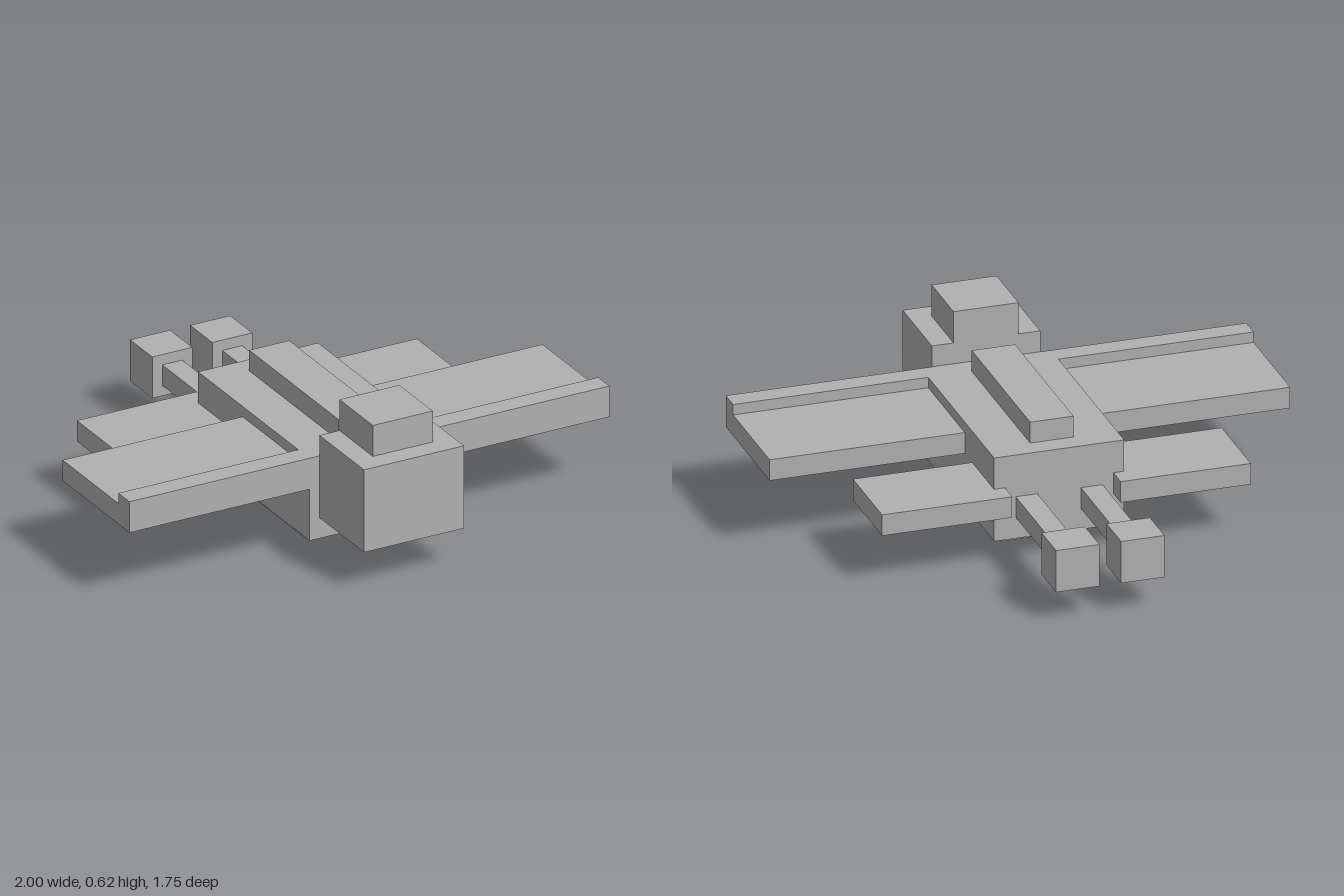
import * as THREE from 'three';

const U = 1 / 24; // one block unit

export function createModel() {
  const model = new THREE.Group();
  model.name = 'blockInsect';
  const grey = new THREE.MeshStandardMaterial({ color: 0xb0b0b0 });
  grey.name = 'plainGrey';

  // Box from its lower and upper corners, in block units
  function box(name, [x0, y0, z0], [x1, y1, z1], parent = model) {
    const geometry = new THREE.BoxGeometry((x1 - x0) * U, (y1 - y0) * U, (z1 - z0) * U);
    const mesh = new THREE.Mesh(geometry, grey);
    mesh.name = name;
    mesh.position.set((x0 + x1) * U / 2, (y0 + y1) * U / 2, (z0 + z1) * U / 2);
    parent.add(mesh);
    return mesh;
  }

  // Same box on the left (+x) and right (-x) sides
  function pair(name, [x0, y0, z0], [x1, y1, z1]) {
    box(name + 'Left', [x0, y0, z0], [x1, y1, z1]);
    box(name + 'Right', [-x1, y0, z0], [-x0, y1, z1]);
  }

  // Body, back ridge and belly
  box('body', [-6, 2, -7], [6, 10, 13]);
  box('backRidge', [-2, 10, -5], [2, 12, 11]);
  box('belly', [-4, 0, -3], [4, 2, 9]);

  // Head and crest
  box('head', [-5, 4, 13], [5, 12, 21]);
  box('crest', [-3, 12, 13], [3, 15, 19]);

  // Front wings with a raised leading edge
  pair('frontWing', [6, 7, 1], [24, 9, 13]);
  pair('wingLeadingEdge', [6, 9, 11], [24, 10, 13]);

  // Smaller rear wings
  pair('rearWing', [5, 5, -9], [17, 7, -1]);

  // Twin tails with block tips
  pair('tail', [2, 4, -17], [4, 6, -7]);
  pair('tailTip', [1, 3, -21], [5, 7, -17]);

  return model;
}
